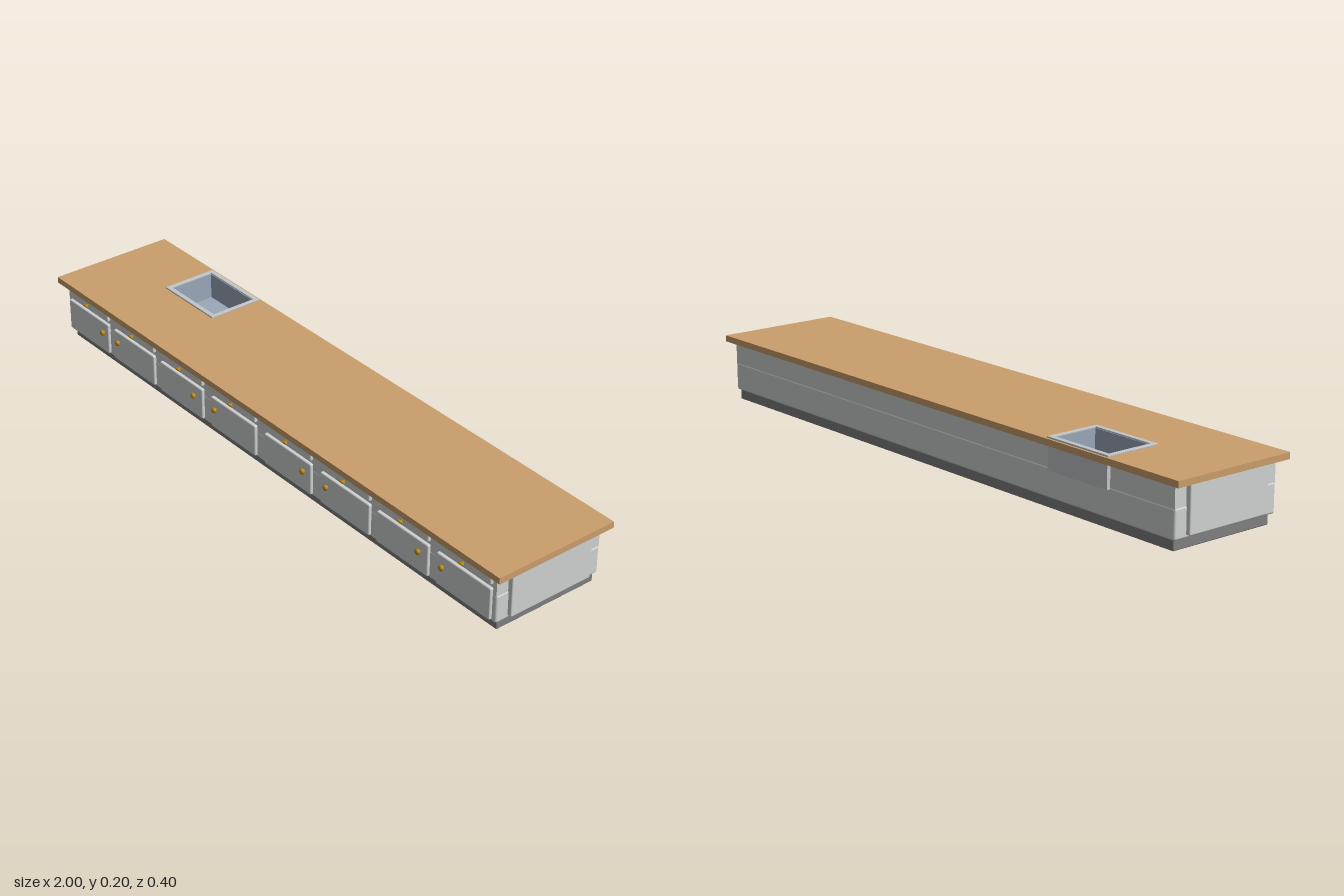
import * as THREE from 'three';
import { RoundedBoxGeometry } from 'three/addons/geometries/RoundedBoxGeometry.js';

const mat = (name, color) => Object.assign(new THREE.MeshStandardMaterial({ color }), { name });

export function createModel() {
  const group = new THREE.Group();
  const paint = mat('paintedGrey', 0xd0d3d2);
  const plinthGrey = mat('plinthGrey', 0x808080);
  const wood = mat('wood', 0xcb9e6b);
  const brass = mat('brass', 0xb8860b);
  const steel = mat('steel', 0xc2c7ca);
  const basinBlue = mat('basinBlueGrey', 0x9ba8ba);

  const add = (name, geometry, material, parent = group) => {
    const mesh = new THREE.Mesh(geometry, material);
    mesh.name = name;
    parent.add(mesh);
    return mesh;
  };

  // Rounded block given by its limits on each axis
  const block = (name, [x0, x1], [y0, y1], [z0, z1], r, material, parent) => {
    const mesh = add(name, new RoundedBoxGeometry(x1 - x0, y1 - y0, z1 - z0, 3, r), material, parent);
    mesh.position.set((x0 + x1) / 2, (y0 + y1) / 2, (z0 + z1) / 2);
    return mesh;
  };

  // Horizontal slab with a rectangular opening; rects are [x0, x1, z0, z1]
  const trace = (path, [x0, x1, z0, z1]) => {
    path.moveTo(x0, -z1);
    path.lineTo(x1, -z1);
    path.lineTo(x1, -z0);
    path.lineTo(x0, -z0);
    path.closePath();
    return path;
  };
  const frame = (name, outer, hole, y0, y1, material, bevel = 0) => {
    const shape = trace(new THREE.Shape(), outer);
    shape.holes.push(trace(new THREE.Path(), hole));
    const geometry = new THREE.ExtrudeGeometry(shape, {
      depth: y1 - y0 - 2 * bevel, bevelEnabled: bevel > 0, bevelSize: bevel,
      bevelThickness: bevel, bevelOffset: -bevel, bevelSegments: 2,
    });
    geometry.rotateX(-Math.PI / 2).translate(0, y0 + bevel, 0);
    return add(name, geometry, material);
  };

  const opening = [-0.723, -0.512, -0.178, -0.032];

  // Plinth, carcass and worktop
  block('plinth', [-0.962, 0.962], [0, 0.034], [-0.175, 0.166], 0.003, plinthGrey);
  block('lowerCarcass', [-0.972, 0.972], [0.03, 0.117], [-0.182, 0.18], 0.007, paint);
  frame('upperCarcass', [-0.97, 0.97, -0.181, 0.179], opening, 0.111, 0.181, paint, 0.002);
  frame('worktop', [-1, 1, -0.2, 0.2], opening, 0.18, 0.199, wood);

  // Raised panels on both ends
  for (const side of [-1, 1]) {
    const panel = block('endPanel', [-0.01, 0.01], [0.039, 0.176], [-0.141, 0.139], 0.004, paint);
    panel.position.x = side * 0.975;
  }

  // Sink: outer shell, raised rim, inner lining and floor
  frame('sinkShell', [-0.733, -0.503, -0.192, -0.02], opening, 0.11, 0.2, steel);
  frame('sinkRim', [-0.736, -0.5, -0.193, -0.017], opening, 0.198, 0.204, steel, 0.0015);
  frame('sinkLining', opening, [-0.721, -0.514, -0.176, -0.034], 0.115, 0.2, basinBlue);
  const floor = add('sinkFloor', new THREE.BoxGeometry(0.215, 0.008, 0.15), basinBlue);
  floor.position.set(-0.6175, 0.116, -0.105);

  // Eight cabinet fronts: [centre x, door knob offset]
  const units = [
    [-0.855, 0.085], [-0.618, -0.073], [-0.378, 0.071], [-0.128, -0.077],
    [0.123, 0.077], [0.373, -0.071], [0.612, 0.073], [0.853, -0.075],
  ];
  const ball = new THREE.SphereGeometry(1, 16, 12);
  const stem = new THREE.CylinderGeometry(0.003, 0.003, 0.012, 10).rotateX(Math.PI / 2);

  for (const [x, knobX] of units) {
    const unit = new THREE.Group();
    unit.name = 'cabinetFront';
    unit.position.x = x;
    group.add(unit);
    block('drawerFront', [-0.104, 0.104], [0.147, 0.175], [0.172, 0.189], 0.004, paint, unit);
    block('door', [-0.104, 0.104], [0.037, 0.136], [0.172, 0.189], 0.004, paint, unit);

    const knob = (name, kx, ky, sx, sy, sz) => {
      const mesh = add(name, ball, brass, unit);
      mesh.scale.set(sx, sy, sz);
      mesh.position.set(kx, ky, 0.197);
      add(name + 'Stem', stem, brass, unit).position.set(kx, ky, 0.191);
    };
    knob('drawerKnob', 0, 0.161, 0.011, 0.004, 0.005);
    knob('doorKnob', knobX, 0.105, 0.009, 0.009, 0.007);
  }
  return group;
}
